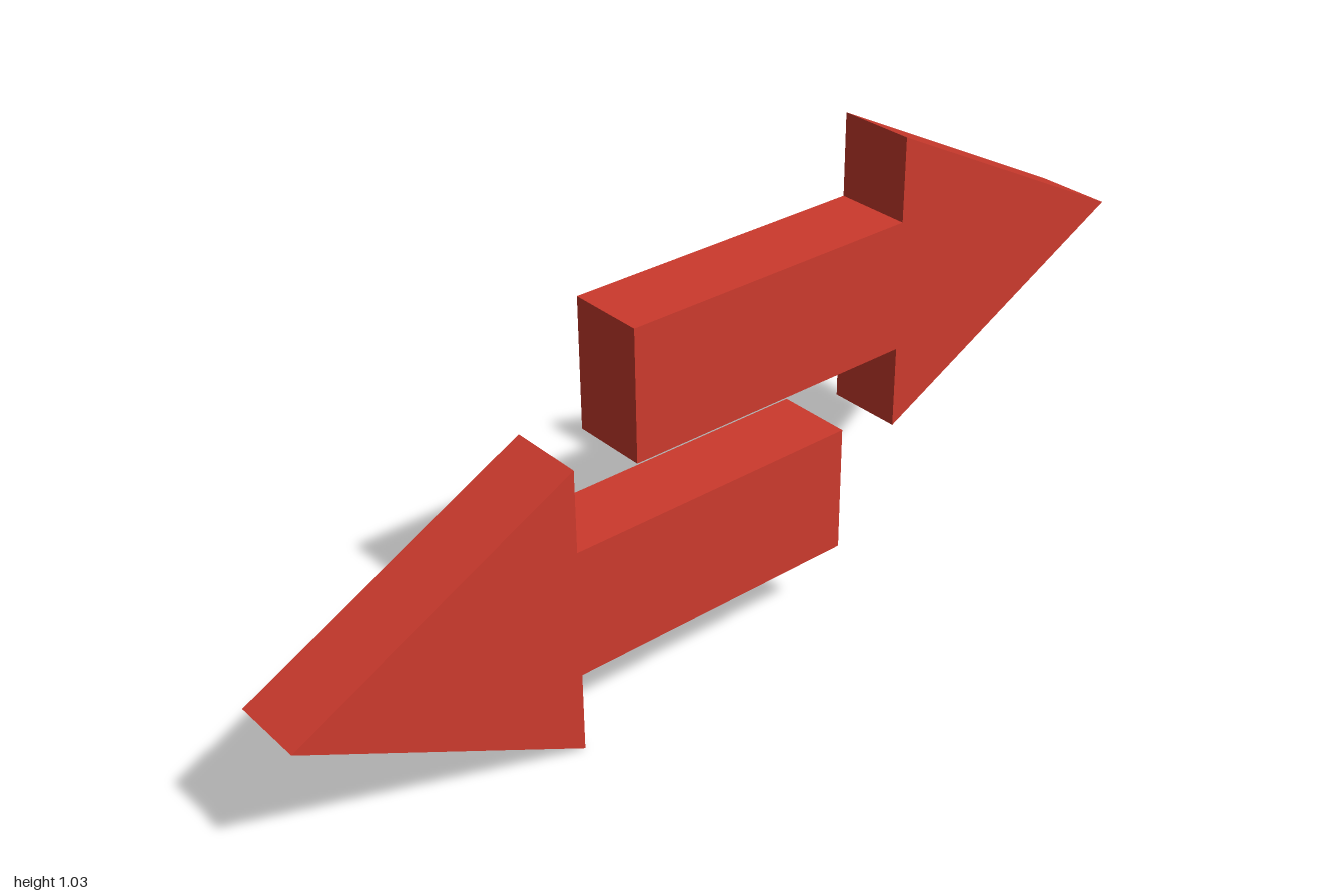
import * as THREE from 'three';

const DEPTH = 0.162;

// Block arrow centred on y = 0; dir = 1 points to +x, -1 to -x
function makeArrow(name, dir, y, material) {
  const tail = -0.257, neck = 0.398, tip = 1, shaft = 0.137, head = 0.311;
  const outline = [
    [tail, -shaft], [neck, -shaft], [neck, -head], [tip, 0],
    [neck, head], [neck, shaft], [tail, shaft],
  ].map(([px, py]) => new THREE.Vector2(px * dir, py));
  const geometry = new THREE.ExtrudeGeometry(new THREE.Shape(outline), {
    depth: DEPTH, bevelEnabled: false,
  });
  geometry.translate(0, y, -DEPTH / 2);
  const mesh = new THREE.Mesh(geometry, material);
  mesh.name = name;
  return mesh;
}

export function createModel() {
  const red = new THREE.MeshStandardMaterial({ color: 0xcc3a2d });
  red.name = 'red';

  const model = new THREE.Group();
  model.name = 'opposingArrows';
  model.add(
    makeArrow('upperArrow', 1, 0.716, red),
    makeArrow('lowerArrow', -1, 0.311, red),
  );
  return model;
}
